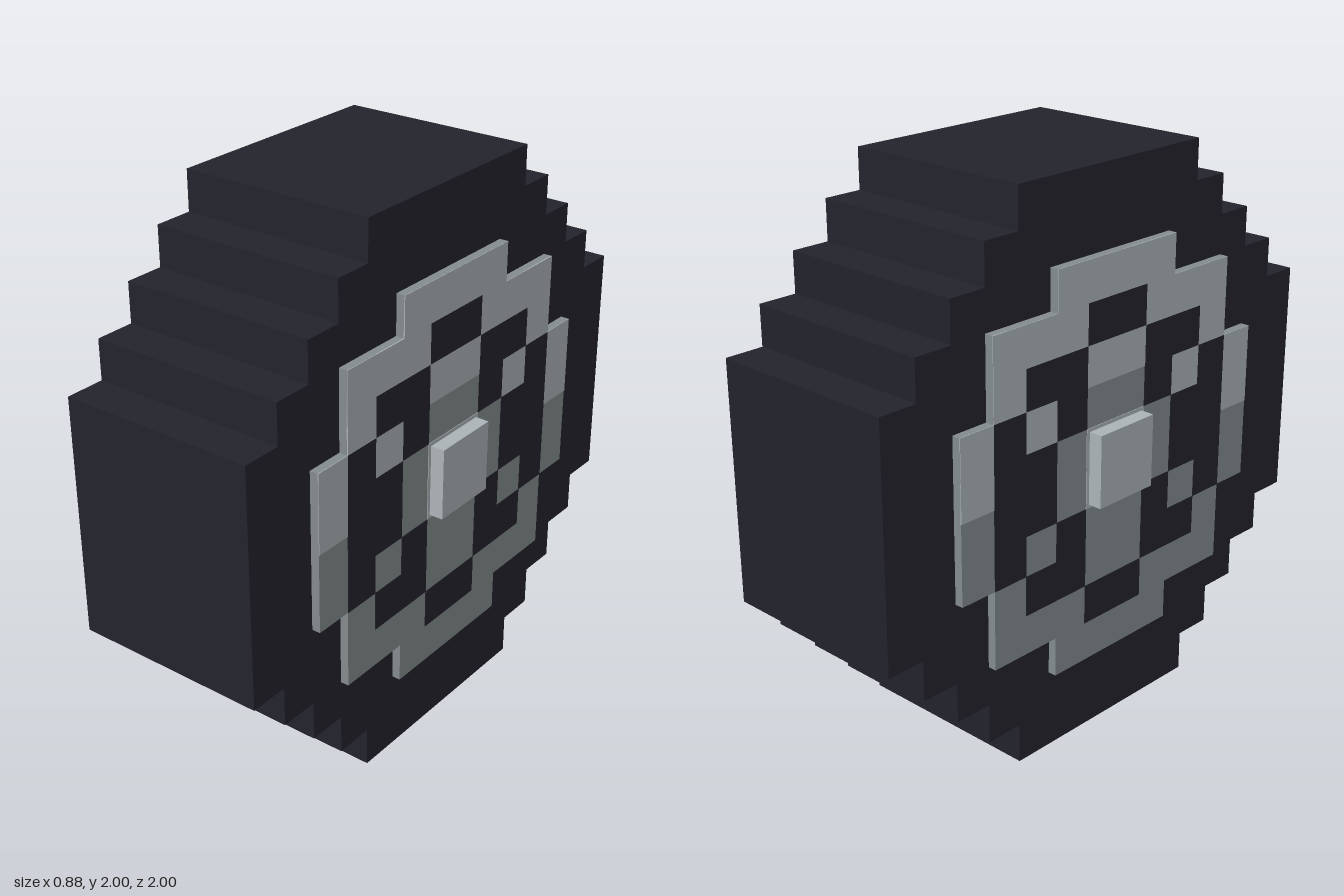
import * as THREE from 'three';

const U = 1 / 7; // one block cell

const material = (name, color) => {
  const m = new THREE.MeshStandardMaterial({ color });
  m.name = name;
  return m;
};

// Stepped disc from [halfWidth, topHeight] pairs of the upper half, widest first
function steppedDisc(steps, width) {
  const quarter = steps.flatMap(([w, top], i) => [[w, i ? steps[i - 1][1] : 0], [w, top]]).slice(1);
  const half = [...quarter, ...quarter.map(([x, y]) => [-x, y]).reverse()];
  const outline = [...half, ...half.map(([x, y]) => [-x, -y])];
  const shape = new THREE.Shape(outline.map(([x, y]) => new THREE.Vector2(x * U, y * U)));
  return new THREE.ExtrudeGeometry(shape, { depth: width, bevelEnabled: false })
    .translate(0, 0, -width / 2)
    .rotateY(Math.PI / 2);
}

// Rim paint, rows outward from the centre line, cells outward from the axle:
// L light, G grey (bare plate), D dark
const UPPER = ['LGDDL', 'GDLDL', 'LDDL', 'DLLL', 'LL'];
const LOWER = ['LGDDG', 'GDGDG', 'GDDG', 'DGGG', 'GG'];

export function createModel() {
  const group = new THREE.Group();
  group.name = 'wheel';
  const rubber = material('dark rubber', 0x23232d);
  const light = material('light metal', 0xadb5b8);
  const grey = material('grey metal', 0x858d8f);

  const add = (parent, name, geometry, mat, x = 0, y = 0, z = 0) => {
    const mesh = new THREE.Mesh(geometry, mat);
    mesh.name = name;
    mesh.position.set(x, y, z);
    parent.add(mesh);
  };

  // Tyre
  add(group, 'tyre', steppedDisc([[7, 3], [6, 4], [5, 5], [4, 6], [3, 7]], 5 * U), rubber, 0, 1);

  for (const side of [1, -1]) {
    const rim = new THREE.Group();
    rim.name = side > 0 ? 'leftRim' : 'rightRim';
    rim.position.y = 1;
    group.add(rim);

    // Raised rim plate and hub cap
    add(rim, 'rimPlate', steppedDisc([[5, 2], [4, 4], [2, 5]], 0.04), grey, side * 0.368);
    add(rim, 'hubCap', new THREE.BoxGeometry(0.06, 0.26, 0.26), light, side * 0.411);

    // Painted cells, mirrored front to back
    for (const [rows, up] of [[UPPER, 1], [LOWER, -1]]) {
      rows.forEach((row, r) => [...row].forEach((cell, c) => {
        if (cell === 'G') return;
        for (const dir of [1, -1]) {
          add(rim, cell === 'L' ? 'lightCell' : 'darkCell', new THREE.BoxGeometry(0.004, U, U),
            cell === 'L' ? light : rubber, side * 0.388, up * (r + 0.5) * U, dir * (c + 0.5) * U);
        }
      }));
    }
  }
  return group;
}
